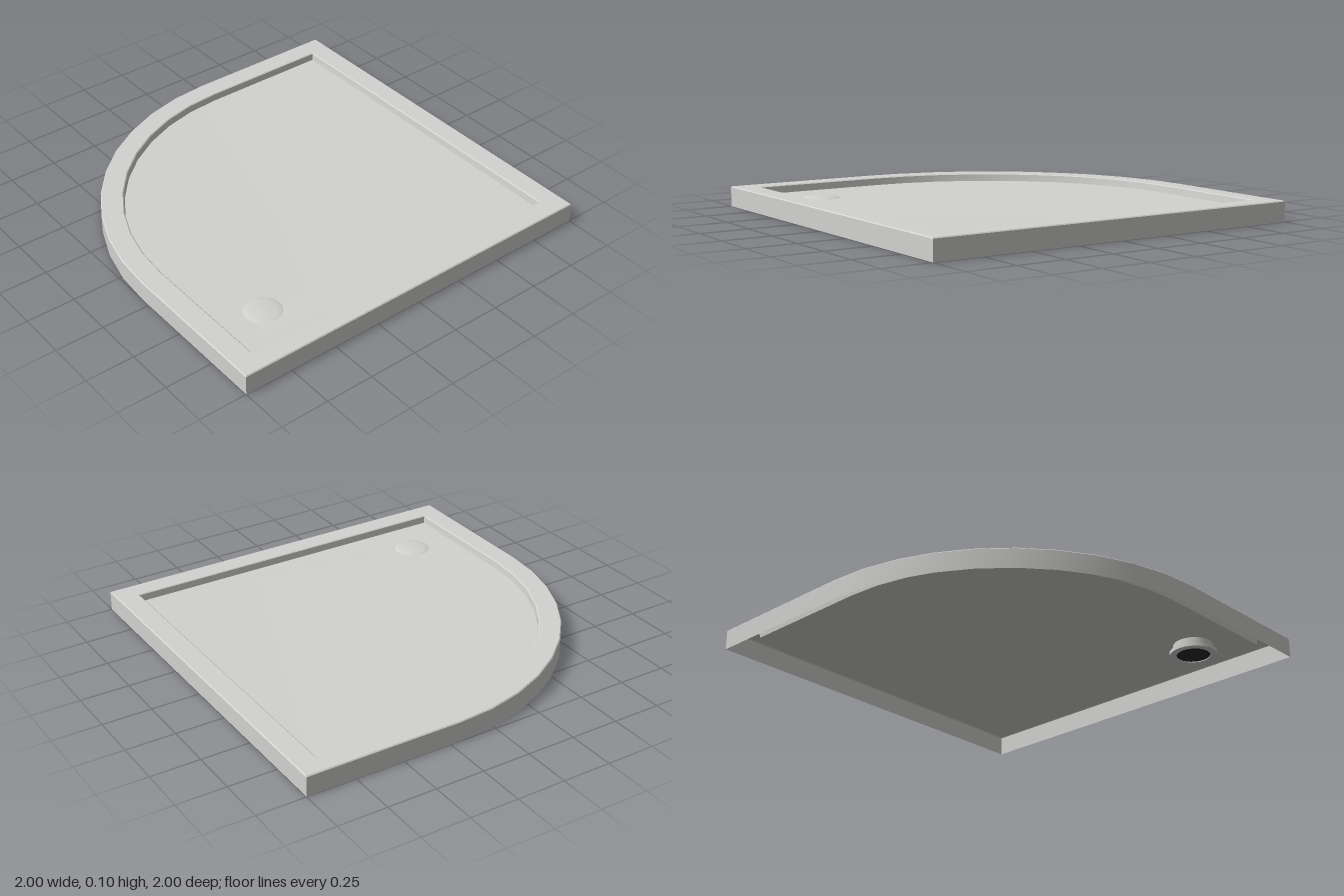
import * as THREE from 'three';
import { toCreasedNormals } from 'three/addons/utils/BufferGeometryUtils.js';

const DRAIN_X = 0.66, DRAIN_Z = 0.65, ARC_STEPS = 10;

// Square outline with one quarter-round corner, inset from the edge, counterclockwise from above.
function ring(inset, y) {
  const e = 1 - inset, r = 1.2 - inset;
  const pts = [new THREE.Vector3(e, y, -e), new THREE.Vector3(-e, y, -e)];
  for (let i = 0; i <= ARC_STEPS; i++) {
    const a = (i / ARC_STEPS) * Math.PI / 2;
    pts.push(new THREE.Vector3(0.2 - r * Math.cos(a), y, -0.2 + r * Math.sin(a)));
  }
  pts.push(new THREE.Vector3(e, y, e));
  return pts;
}

// Skin joining successive closed rings.
function loft(rings) {
  const pos = [], n = rings[0].length;
  const tri = (...ps) => ps.forEach((p) => pos.push(p.x, p.y, p.z));
  for (let k = 0; k < rings.length - 1; k++) {
    const a = rings[k], b = rings[k + 1];
    for (let i = 0; i < n; i++) {
      const j = (i + 1) % n;
      tri(a[i], a[j], b[j]);
      tri(a[i], b[j], b[i]);
    }
  }
  const g = new THREE.BufferGeometry();
  g.setAttribute('position', new THREE.Float32BufferAttribute(pos, 3));
  return toCreasedNormals(g, 0.4);
}

export function createModel() {
  const group = new THREE.Group();
  const trayGrey = new THREE.MeshStandardMaterial({ name: 'trayGrey', color: 0xd2d2d0, side: THREE.DoubleSide });
  const drainBlack = new THREE.MeshStandardMaterial({ name: 'drainBlack', color: 0x2a2a2a });

  const add = (name, geometry, material, x = 0, y = 0, z = 0) => {
    const mesh = new THREE.Mesh(geometry, material);
    mesh.name = name;
    mesh.position.set(x, y, z);
    group.add(mesh);
  };

  // Thin shell: outer skirt, softened edge, flat rim and steep inner step
  add('rim', loft([
    ring(0, 0), ring(0, 0.1), ring(0.005, 0.105),
    ring(0.108, 0.105), ring(0.113, 0.101), ring(0.117, 0.066),
  ]), trayGrey);

  // Floor falling gently towards the drain
  const edge = ring(0.117, 0.066);
  const centre = new THREE.Vector3(DRAIN_X, 0.06, DRAIN_Z);
  add('floor', loft([edge, edge.map((p) => p.clone().lerp(centre, 0.999))]), trayGrey);

  // Shallow domed drain cover
  const dome = [[0.095, 0], [0.09, 0.004], [0.065, 0.008], [0.035, 0.01], [0, 0.011]];
  add('drainCover', new THREE.LatheGeometry(dome.map(([r, y]) => new THREE.Vector2(r, y)), 24),
    trayGrey, DRAIN_X, 0.06, DRAIN_Z);

  // Waste fitting beneath the floor
  const waste = [[0.1, 0.06], [0.1, 0.022], [0.12, 0.022], [0.12, 0.004], [0.085, 0.004], [0.085, 0.02]];
  const wasteGeo = new THREE.LatheGeometry(waste.map(([r, y]) => new THREE.Vector2(r, y)), 24);
  add('wasteFitting', toCreasedNormals(wasteGeo, 0.5), trayGrey, DRAIN_X, 0, DRAIN_Z);
  const hole = new THREE.CircleGeometry(0.085, 24).rotateX(Math.PI / 2);
  add('wasteOpening', hole, drainBlack, DRAIN_X, 0.008, DRAIN_Z);

  return group;
}
